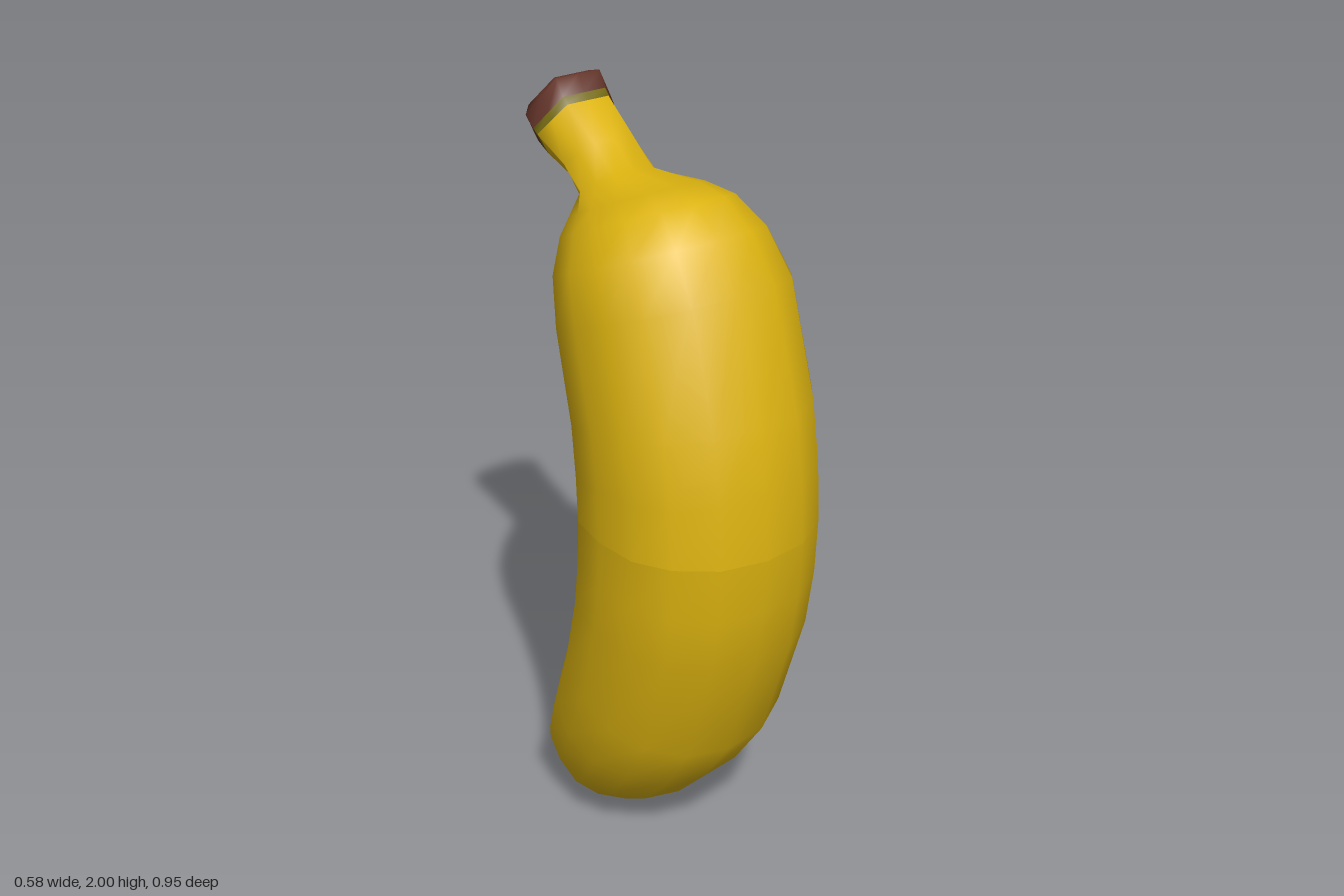
import * as THREE from 'three';

const mat = (name, color) => {
  const m = new THREE.MeshStandardMaterial({ color });
  m.name = name;
  return m;
};

// Half outlines as [across, depth]; depth 1 is the outer curve, -1 the inner one
const BODY = [[0, 1], [0.41, 0.92], [0.74, 0.66], [0.94, 0.31], [1, -0.16], [0.97, -0.6], [0.69, -1]];
const HEX = [[0, 1], [0.5, 1], [0.75, 0.5], [1, 0], [0.83, -0.33], [0.67, -0.67], [0.5, -1]];

// Cross-sections: outer z, outer y, inner z, inner y, half width, hexagon amount
const TIP = [
  [-0.24, 0.0, -0.32, 0.14, 0.075, 1],
  [-0.224, 0.003, -0.317, 0.147, 0.092, 0.9],
];
const LOWER = [
  TIP[1],
  [-0.12, 0.012, -0.305, 0.175, 0.175, 0.2],
  [-0.02, 0.04, -0.285, 0.215, 0.208, 0],
  [0.1, 0.12, -0.25, 0.29, 0.24, 0],
  [0.22, 0.245, -0.19, 0.42, 0.267, 0],
  [0.33, 0.4, -0.11, 0.6, 0.282, 0],
  [0.435, 0.71, -0.05, 0.81, 0.289, 0],
  [0.465, 0.88, -0.035, 0.93, 0.29, 0],
  [0.475, 1.035, -0.03, 1.035, 0.29, 0],
];
const UPPER = [
  LOWER[LOWER.length - 1],
  [0.465, 1.2, -0.036, 1.15, 0.29, 0],
  [0.435, 1.37, -0.05, 1.27, 0.289, 0],
  [0.335, 1.67, -0.115, 1.48, 0.283, 0],
  [0.25, 1.78, -0.165, 1.59, 0.255, 0],
  [0.16, 1.84, -0.2, 1.665, 0.21, 0.1],
  [0.07, 1.85, -0.222, 1.7, 0.168, 0.3],
  [-0.11, 1.83, -0.25, 1.73, 0.112, 0.8],
  [-0.2, 1.885, -0.31, 1.765, 0.108, 1],
  [-0.315, 1.947, -0.41, 1.79, 0.117, 1],
];
const BAND = [UPPER[UPPER.length - 1], [-0.332, 1.962, -0.424, 1.796, 0.12, 1]];
const COLLAR = [
  BAND[1],
  [-0.36, 2.0, -0.455, 1.81, 0.123, 1],
  [-0.39, 1.992, -0.475, 1.847, 0.1, 1],
];

// One closed ring of points, mirrored across x
function ring([zo, yo, zi, yi, w, hex]) {
  const half = BODY.map(([a, d], i) => {
    const x = w * THREE.MathUtils.lerp(a, HEX[i][0], hex);
    const t = (THREE.MathUtils.lerp(d, HEX[i][1], hex) + 1) / 2;
    return [x, yi + (yo - yi) * t, zi + (zo - zi) * t];
  });
  return [...half, ...half.slice(1).reverse().map(([x, y, z]) => [-x, y, z])];
}

function geometry(points, index) {
  const g = new THREE.BufferGeometry();
  g.setAttribute('position', new THREE.Float32BufferAttribute(points.flat(), 3));
  g.setIndex(index);
  g.computeVertexNormals();
  return g;
}

// Skin running through a list of cross-sections
function skin(sections) {
  const rings = sections.map(ring);
  const n = rings[0].length;
  const index = [];
  for (let s = 0; s < rings.length - 1; s++) {
    for (let k = 0; k < n; k++) {
      const a = s * n + k, b = s * n + (k + 1) % n;
      index.push(a, b, b + n, a, b + n, a + n);
    }
  }
  return geometry(rings.flat(), index);
}

// Flat end face
function endFace(section, facesUp) {
  const pts = ring(section);
  const index = [];
  for (let k = 1; k < pts.length - 1; k++) index.push(0, facesUp ? k : k + 1, facesUp ? k + 1 : k);
  return geometry(pts, index);
}

export function createModel() {
  const yellow = mat('yellow peel', 0xdcb310);
  const olive = mat('olive green', 0x756a10);
  const brown = mat('brown', 0x633429);
  const dark = mat('dark brown', 0x3a2528);

  const group = new THREE.Group();
  group.name = 'banana';
  const add = (name, geo, material) => {
    const mesh = new THREE.Mesh(geo, material);
    mesh.name = name;
    group.add(mesh);
  };

  // Peel, in two halves meeting at the middle seam
  add('lowerPeel', skin(LOWER), yellow);
  add('upperPeelAndStem', skin(UPPER), yellow);

  // Stem end
  add('stemBand', skin(BAND), olive);
  add('stemCollar', skin(COLLAR), brown);
  add('stemEnd', endFace(COLLAR[2], true), dark);

  // Blossom tip
  add('tipBand', skin(TIP), olive);
  add('tipEnd', endFace(TIP[0], false), dark);

  return group;
}
